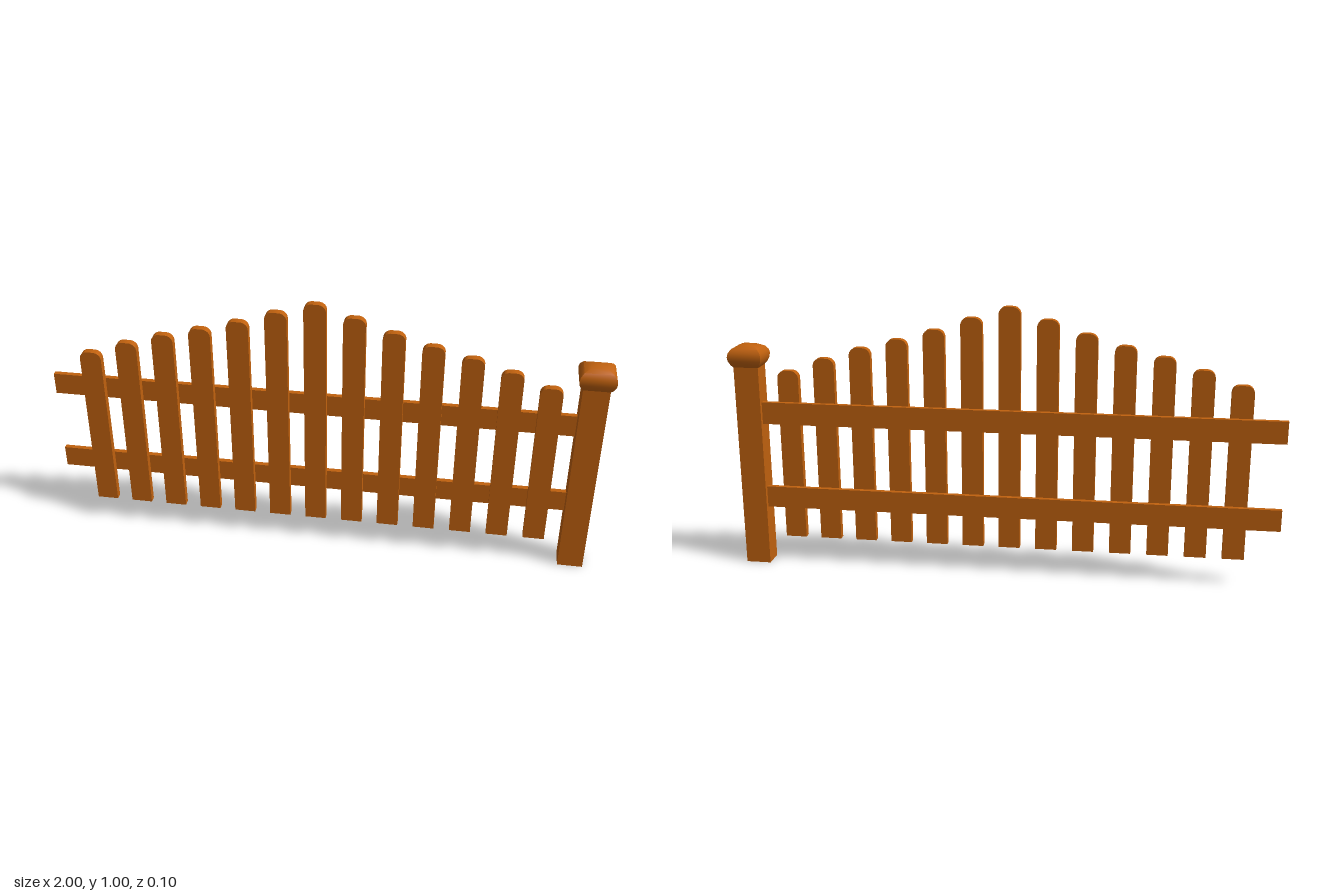
import * as THREE from 'three';
import { toCreasedNormals } from 'three/addons/utils/BufferGeometryUtils.js';

const wood = new THREE.MeshStandardMaterial({ color: 0xc0610e });
wood.name = 'warm wood';

function addPart(group, name, geometry, x = 0, y = 0, z = 0) {
  const mesh = new THREE.Mesh(geometry, wood);
  mesh.name = name;
  mesh.position.set(x, y, z);
  group.add(mesh);
  return mesh;
}

// Upright board with rounded upper corners, standing on its origin
function picketGeometry(height) {
  const w = 0.039, r = 0.028;
  const shape = new THREE.Shape();
  shape.moveTo(-w, 0);
  shape.lineTo(w, 0);
  shape.lineTo(w, height - r);
  shape.absarc(w - r, height - r, r, 0, Math.PI / 2, false);
  shape.lineTo(r - w, height);
  shape.absarc(r - w, height - r, r, Math.PI / 2, Math.PI, false);
  shape.closePath();
  const board = new THREE.ExtrudeGeometry(shape, { depth: 0.026, bevelEnabled: false, curveSegments: 5 });
  return toCreasedNormals(board, 0.6);
}

// Four-sided cap: a bulging profile swept around a rectangle
function capGeometry() {
  const profile = [
    [0.046, 0.76], [0.054, 0.77], [0.061, 0.785], [0.063, 0.8],
    [0.06, 0.814], [0.049, 0.828], [0.027, 0.839], [0, 0.845],
  ].map(([half, y]) => new THREE.Vector2(half * Math.SQRT2, y));
  const cap = new THREE.LatheGeometry(profile, 4, Math.PI / 4);
  cap.scale(1, 1, 0.825);
  return toCreasedNormals(cap, 0.75);
}

export function createModel() {
  const fence = new THREE.Group();
  fence.name = 'picketFence';

  // Pickets, rising towards the middle
  const tops = [1, 0.958, 0.912, 0.873, 0.838, 0.795, 0.745];
  const bottom = 0.1;
  for (let i = -6; i <= 6; i++) {
    addPart(fence, 'picket', picketGeometry(tops[Math.abs(i)] - bottom), -0.025 + i * 0.136, bottom, -0.004);
  }

  // Two horizontal rails behind the pickets
  for (const [name, low, high] of [['lowerRail', 0.222, 0.302], ['upperRail', 0.546, 0.628]]) {
    addPart(fence, name, new THREE.BoxGeometry(1.895, high - low, 0.018), -0.0525, (low + high) / 2, -0.013);
  }

  // End post with its cap
  addPart(fence, 'post', new THREE.BoxGeometry(0.092, 0.765, 0.076), 0.935, 0.3825, 0);
  addPart(fence, 'postCap', capGeometry(), 0.935, 0, 0);

  return fence;
}
